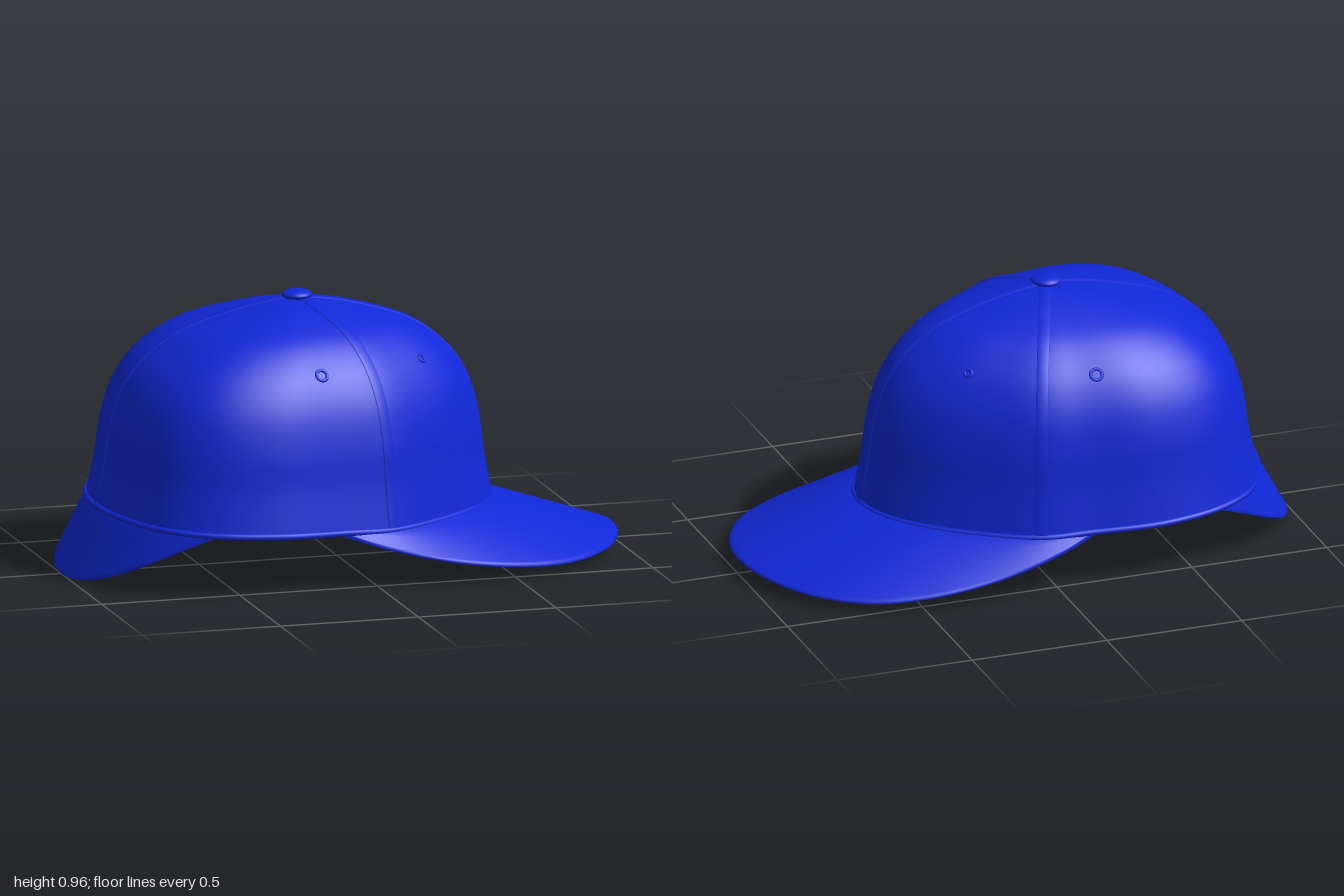
import * as THREE from 'three';

const V = (x, y, z) => new THREE.Vector3(x, y, z);
const APEX_X = -0.145;

// half outlines are mirrored across z = 0
const mirror = (pts) => pts.map((p) => V(p.x, p.y, -p.z));

// crown base outline: front tip, round the +z side, to the back, then mirrored
const halfBase = [
  V(0.55, 0.21, 0), V(0.525, 0.207, 0.12), V(0.43, 0.203, 0.255), V(0.27, 0.2, 0.385), V(0.06, 0.2, 0.505),
  V(-0.12, 0.207, 0.535), V(-0.37, 0.217, 0.57), V(-0.6, 0.225, 0.525), V(-0.75, 0.232, 0.42),
  V(-0.845, 0.238, 0.22), V(-0.875, 0.24, 0),
];
const base = new THREE.CatmullRomCurve3([...halfBase, ...mirror(halfBase.slice(1, -1)).reverse()], true);
const baseAt = (u) => base.getPoint(((u % 1) + 1) % 1);

// crown profile: x = outline scale, y = height
const profile = new THREE.CatmullRomCurve3([
  [1, 0.22], [0.96, 0.37], [0.935, 0.5], [0.885, 0.62], [0.81, 0.71],
  [0.72, 0.775], [0.58, 0.84], [0.38, 0.89], [0.17, 0.925], [0, 0.94],
].map(([s, y]) => V(s, y, 0)));

function crownPoint(u, t) {
  const b = baseAt(u), p = profile.getPoint(t);
  const low = 1 - (p.y - 0.22) / 0.72;
  return V(APEX_X + (b.x - APEX_X) * p.x, p.y + (b.y - 0.22) * low, b.z * p.x);
}

// tangent round the crown and outward normal at a point
function crownFrame(u, t) {
  const e = 0.004;
  const pos = crownPoint(u, t);
  const side = crownPoint(u + e, t).sub(crownPoint(u - e, t)).normalize();
  const up = crownPoint(u, Math.min(1, t + e)).sub(crownPoint(u, t - e < 0 ? 0 : t - e)).normalize();
  const normal = up.clone().cross(side).normalize();
  if (normal.dot(pos.clone().sub(V(APEX_X, 0.3, 0))) < 0) normal.negate();
  return { pos, side, normal };
}

// surface from f(i, j) on a grid, optionally closed in either direction
function grid(f, nu, nv, wrapU = false, wrapV = false) {
  const pos = [], index = [];
  for (let i = 0; i < nu; i++) for (let j = 0; j < nv; j++) pos.push(...f(i, j).toArray());
  for (let i = 0; i < (wrapU ? nu : nu - 1); i++) {
    for (let j = 0; j < (wrapV ? nv : nv - 1); j++) {
      const i2 = (i + 1) % nu, j2 = (j + 1) % nv;
      const a = i * nv + j, b = i2 * nv + j, c = i2 * nv + j2, d = i * nv + j2;
      index.push(a, d, b, b, d, c);
    }
  }
  const g = new THREE.BufferGeometry();
  g.setAttribute('position', new THREE.Float32BufferAttribute(pos, 3));
  g.setIndex(index);
  g.computeVertexNormals();
  return g;
}

// thin curved plate between the crown base and an outer edge
function plate(halfEdge, uStart, uEnd) {
  const edge = new THREE.CatmullRomCurve3([...halfEdge, ...mirror(halfEdge.slice(0, -1)).reverse()]);
  const ks = [0, 0.33, 0.66, 0.94, 0.985];
  const section = [
    ...ks.map((k) => [k, 0.006]), [1, 0], ...ks.map((k) => [k, -0.006]).reverse(),
  ];
  const n = 81;
  return grid((i, j) => {
    const w = i / (n - 1), [k, off] = section[j];
    const p = baseAt(uStart + (uEnd - uStart) * w).lerp(edge.getPoint(w), k);
    p.y += off;
    return p;
  }, n, section.length, false, true);
}

export function createModel() {
  const cap = new THREE.Group();
  cap.name = 'cap';
  const blue = new THREE.MeshStandardMaterial({ color: 0x1028d8, side: THREE.DoubleSide });
  blue.name = 'blue cloth';
  const add = (name, geometry) => {
    const m = new THREE.Mesh(geometry, blue);
    m.name = name;
    cap.add(m);
    return m;
  };

  // crown shell, open underneath
  add('crown', grid((i, j) => crownPoint(i / 120, j / 48), 120, 49, true));

  // rolled hem round the opening
  add('hem', new THREE.TubeGeometry(base, 140, 0.011, 8, true));

  // front brim and back neck flap
  add('brim', plate([
    V(-0.13, 0.2, 0.53), V(0, 0.155, 0.56), V(0.25, 0.09, 0.573), V(0.5, 0.052, 0.55),
    V(0.7, 0.038, 0.485), V(0.87, 0.042, 0.35), V(0.97, 0.052, 0.17), V(1, 0.058, 0),
  ], 0.25, -0.25));
  add('neckFlap', plate([
    V(-0.6, 0.222, 0.525), V(-0.7, 0.175, 0.485), V(-0.82, 0.11, 0.41),
    V(-0.925, 0.045, 0.28), V(-0.985, 0.013, 0.14), V(-1, 0.006, 0),
  ], 0.35, 0.65));

  // raised seam tapes running from the hem to the button
  const tape = [[-1, -0.003], [-0.85, 0.005], [0.85, 0.005], [1, -0.003]];
  const seams = [['frontSeam', 0, 0.02], ['leftSeam', 0.2, 0.022], ['rightSeam', 0.8, 0.022], ['backSeam', 0.5, 0.012]];
  for (const [name, u, width] of seams) {
    add(name, grid((i, j) => {
      const { pos, side, normal } = crownFrame(u, (i / 48) * 0.97);
      return pos.addScaledVector(side, tape[j][0] * width).addScaledVector(normal, tape[j][1]);
    }, 49, tape.length));
  }

  // stitched eyelets, a larger side pair and a smaller front pair
  for (const [name, u, r] of [['sideEyelet', 0.264, 0.02], ['frontEyelet', 0.125, 0.013]]) {
    for (const uu of [u, 1 - u]) {
      const { pos, normal } = crownFrame(uu, 0.51);
      const ring = add(name, new THREE.TorusGeometry(r, 0.006, 8, 20));
      ring.position.copy(pos);
      ring.quaternion.setFromUnitVectors(V(0, 0, 1), normal);
    }
  }

  // button on top
  const button = add('button', new THREE.SphereGeometry(0.054, 28, 16));
  button.scale.y = 0.36;
  button.position.set(APEX_X, 0.945, 0);

  return cap;
}
